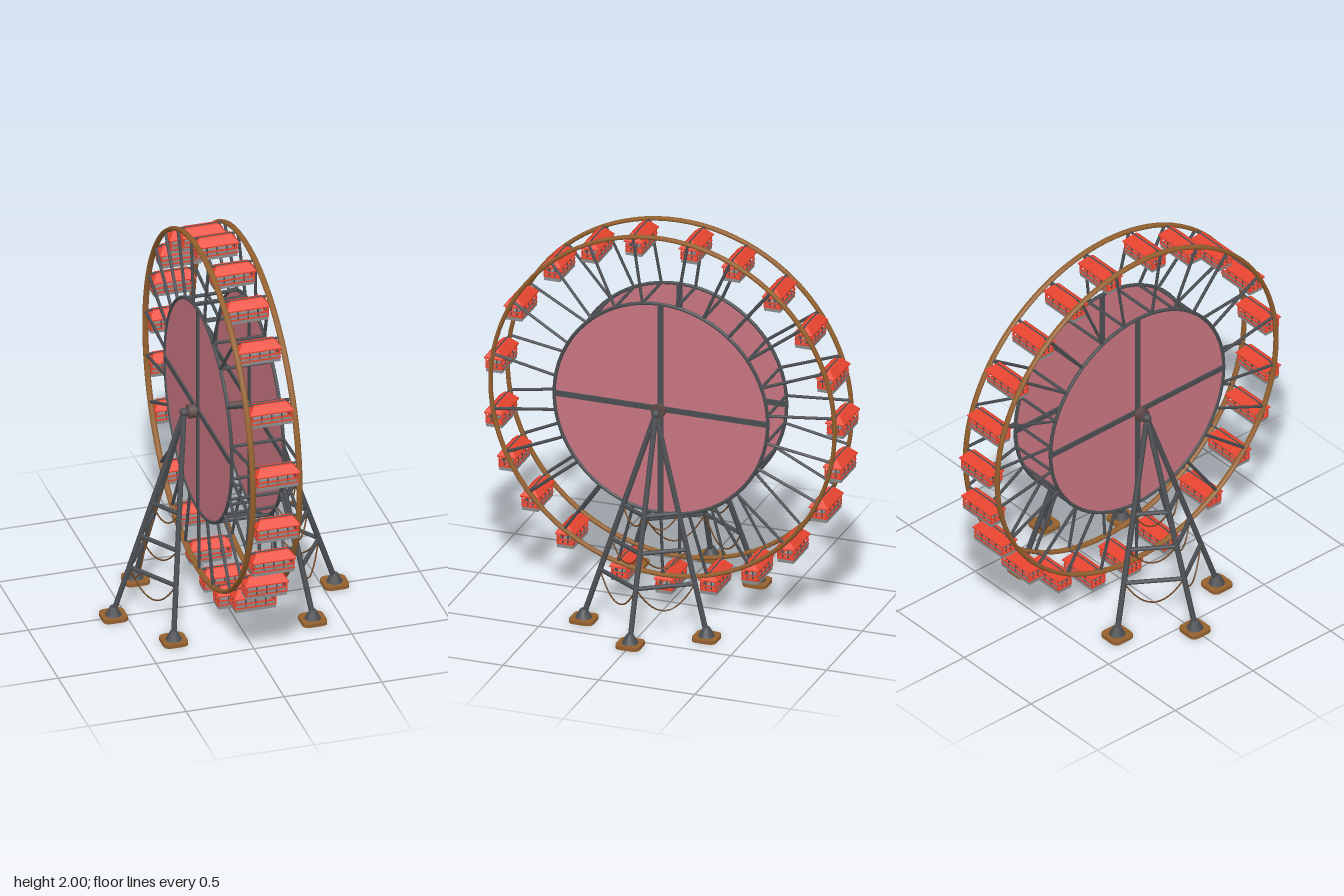
import * as THREE from 'three';

const HUB_Y = 1.09, RIM_R = 0.897, DISC_R = 0.557, MID_X = -0.008;
const mat = (color, side = THREE.FrontSide) => new THREE.MeshStandardMaterial({ color, side });
const steel = mat(0x4b4e52), brown = mat(0x94602e), red = mat(0xe8452f);
const grey = mat(0x8c8c8c), rope = mat(0x6e4522), hubMat = mat(0x5e4a48);
const pink = mat(0xc87580, THREE.DoubleSide);
const V = (x, y, z) => new THREE.Vector3(x, y, z);

function add(parent, name, geometry, material, pos = V(0, 0, 0)) {
  const mesh = new THREE.Mesh(geometry, material);
  mesh.name = name;
  mesh.position.copy(pos);
  parent.add(mesh);
  return mesh;
}

// Straight round bar between two points
function bar(parent, name, a, b, r, material = steel, sides = 8) {
  const dir = b.clone().sub(a);
  const mesh = add(parent, name, new THREE.CylinderGeometry(r, r, dir.length(), sides), material,
    a.clone().lerp(b, 0.5));
  mesh.quaternion.setFromUnitVectors(V(0, 1, 0), dir.normalize());
  return mesh;
}

// Box whose top face is shrunk, for hipped roofs
function hipped(w, h, d, topW, topD) {
  const g = new THREE.BoxGeometry(w, h, d).toNonIndexed();
  const p = g.attributes.position;
  for (let i = 0; i < p.count; i++) {
    if (p.getY(i) > 0) p.setXYZ(i, p.getX(i) * topW / w, p.getY(i), p.getZ(i) * topD / d);
  }
  g.computeVertexNormals();
  return g;
}

// Point on the wheel, angle in degrees measured from the bottom
function wheelPoint(x, deg, r) {
  const a = THREE.MathUtils.degToRad(deg);
  return V(x, HUB_Y - r * Math.cos(a), -r * Math.sin(a));
}

// Hanging cabin; its origin is the pivot on the rim
function createCabin() {
  const cabin = new THREE.Group();
  cabin.name = 'cabin';
  add(cabin, 'roof', hipped(0.222, 0.034, 0.1, 0.165, 0.03), red, V(0, -0.014, 0));
  add(cabin, 'roofEave', new THREE.BoxGeometry(0.222, 0.007, 0.1), red, V(0, -0.034, 0));
  add(cabin, 'floor', new THREE.BoxGeometry(0.208, 0.02, 0.084), grey, V(0, -0.098, 0));
  add(cabin, 'floorBand', new THREE.BoxGeometry(0.212, 0.008, 0.088), red, V(0, -0.086, 0));
  add(cabin, 'seat', new THREE.BoxGeometry(0.17, 0.02, 0.03), grey, V(0, -0.076, 0));
  for (const s of [-1, 1]) {
    add(cabin, 'sideRail', new THREE.BoxGeometry(0.212, 0.007, 0.006), red, V(0, -0.064, s * 0.041));
    add(cabin, 'endRail', new THREE.BoxGeometry(0.006, 0.007, 0.084), red, V(s * 0.103, -0.064, 0));
    add(cabin, 'sidePanel', new THREE.BoxGeometry(0.2, 0.016, 0.004), grey, V(0, -0.076, s * 0.04));
    for (let i = 0; i < 5; i++) {
      add(cabin, 'post', new THREE.BoxGeometry(0.006, 0.056, 0.006), i % 4 ? steel : red,
        V(-0.102 + i * 0.051, -0.061, s * 0.04));
    }
    for (const z of [-0.014, 0.014]) {
      add(cabin, 'doorPost', new THREE.BoxGeometry(0.006, 0.056, 0.006), steel, V(s * 0.1, -0.061, z));
    }
  }
  return cabin;
}

function createWheel() {
  const wheel = new THREE.Group();
  wheel.name = 'wheel';
  const angles = [0, 15, 30, 45, 64.3, 79.5, 94.7, 110, 125.8, 141, 156.8, 171.6,
    190, 205.5, 220.5, 240.6, 260.6, 279.4, 294.3, 309, 325, 345];

  for (const s of [-1, 1]) {
    const rimX = MID_X + s * 0.119;
    const discX = s > 0 ? 0.134 : -0.13;
    // Outer rim, slightly wider than deep
    const rim = add(wheel, 'outerRim', new THREE.TorusGeometry(RIM_R, 0.011, 8, 96), brown, V(rimX, HUB_Y, 0));
    rim.rotation.y = Math.PI / 2;
    rim.scale.z = 1.4;
    // Inner disc with its hoop and cross beams
    const disc = add(wheel, 'disc', new THREE.CircleGeometry(DISC_R, 64), pink, V(discX, HUB_Y, 0));
    disc.rotation.y = s * Math.PI / 2;
    const hoop = add(wheel, 'discHoop', new THREE.TorusGeometry(DISC_R, 0.009, 8, 64), steel, V(discX, HUB_Y, 0));
    hoop.rotation.y = Math.PI / 2;
    add(wheel, 'uprightBeam', new THREE.BoxGeometry(0.018, DISC_R * 2, 0.028), steel, V(discX, HUB_Y, 0));
    add(wheel, 'levelBeam', new THREE.BoxGeometry(0.018, 0.028, DISC_R * 2), steel, V(discX, HUB_Y, 0));
    // Spokes
    for (const a of angles) {
      bar(wheel, 'spoke', wheelPoint(discX, a, DISC_R), wheelPoint(rimX, a, RIM_R), 0.008, steel, 6);
    }
  }

  // Tie bars, cabin axles and cabins
  for (const a of angles) {
    bar(wheel, 'tieBar', wheelPoint(-0.13, a, DISC_R), wheelPoint(0.134, a, DISC_R), 0.008, steel, 6);
    bar(wheel, 'cabinAxle', wheelPoint(MID_X - 0.119, a, RIM_R), wheelPoint(MID_X + 0.119, a, RIM_R),
      0.006, steel, 6);
    const cabin = createCabin();
    cabin.position.copy(wheelPoint(MID_X, a, RIM_R));
    wheel.add(cabin);
  }
  return wheel;
}

// Tripod on one side, with braces and slack ropes
function createTripod(s) {
  const tripod = new THREE.Group();
  tripod.name = s > 0 ? 'leftTripod' : 'rightTripod';
  const top = V(s * 0.205, HUB_Y, 0);
  const feet = [V(s * 0.565, 0.03, 0), V(s * 0.355, 0.03, 0.32), V(s * 0.355, 0.03, -0.32)];

  for (const f of feet) {
    bar(tripod, 'leg', f, top, 0.014);
    // Rounded square pad
    const h = 0.063, c = 0.035, shape = new THREE.Shape();
    shape.moveTo(-h + c, -h).lineTo(h - c, -h).quadraticCurveTo(h, -h, h, -h + c)
      .lineTo(h, h - c).quadraticCurveTo(h, h, h - c, h)
      .lineTo(-h + c, h).quadraticCurveTo(-h, h, -h, h - c)
      .lineTo(-h, -h + c).quadraticCurveTo(-h, -h, -h + c, -h);
    const pad = add(tripod, 'footPad', new THREE.ExtrudeGeometry(shape,
      { depth: 0.018, bevelEnabled: false, curveSegments: 5 }), brown, V(f.x, 0, f.z));
    pad.rotation.x = -Math.PI / 2;
    add(tripod, 'footCone', new THREE.CylinderGeometry(0.017, 0.042, 0.045, 10), steel, V(f.x, 0.04, f.z));
  }

  for (const [y, sag] of [[0.61, 0.08], [0.435, 0.09], [0.27, 0.13]]) {
    const t = (y - 0.03) / (HUB_Y - 0.03);
    const a = feet[0].clone().lerp(top, t);
    for (const f of feet.slice(1)) {
      const b = f.clone().lerp(top, t);
      bar(tripod, 'brace', a, b, 0.011);
      const mid = a.clone().lerp(b, 0.5);
      mid.y -= sag * 2;
      add(tripod, 'rope', new THREE.TubeGeometry(new THREE.QuadraticBezierCurve3(a, mid, b), 16, 0.004, 5), rope);
    }
  }

  // Bearing where the axle rests
  bar(tripod, 'hubCollar', V(s * 0.15, HUB_Y, 0), V(s * 0.185, HUB_Y, 0), 0.036, hubMat, 8);
  add(tripod, 'legJoint', new THREE.SphereGeometry(0.022, 12, 8), steel, top);
  return tripod;
}

export function createModel() {
  const model = new THREE.Group();
  model.name = 'ferrisWheel';
  model.add(createWheel(), createTripod(1), createTripod(-1));
  bar(model, 'axle', V(-0.22, HUB_Y, 0), V(0.22, HUB_Y, 0), 0.017, hubMat, 12);
  return model;
}
